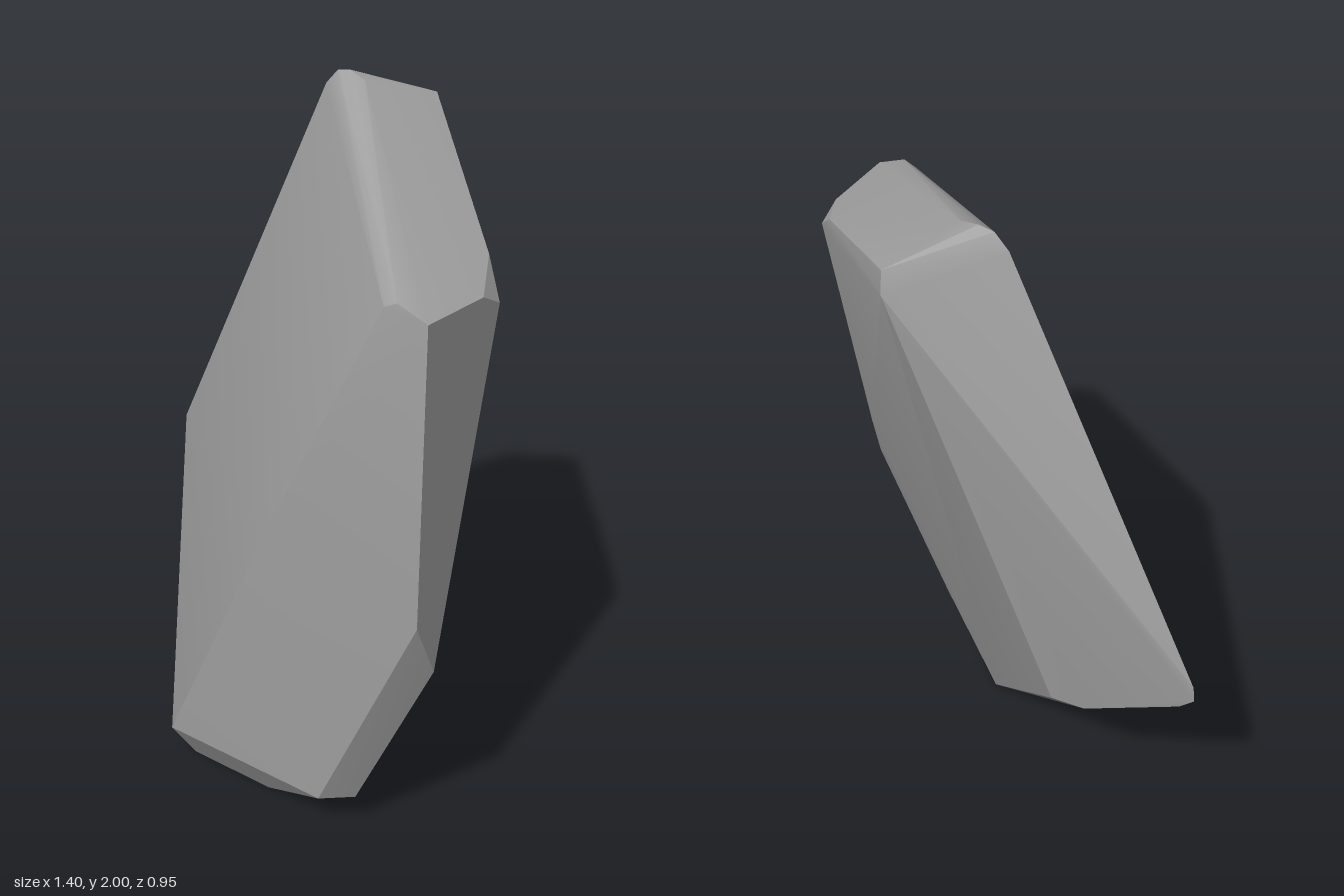
import * as THREE from 'three';
import { ConvexGeometry } from 'three/addons/geometries/ConvexGeometry.js';
import { toCreasedNormals } from 'three/addons/utils/BufferGeometryUtils.js';

export function createModel() {
  const stone = new THREE.MeshStandardMaterial({ color: 0xa0a0a0 });
  stone.name = 'grey stone';

  // Corners of the boulder, grouped by region
  const base = [
    [-0.14, 0, 0.37], [0.145, 0, 0.37], [0.145, 0, 0.14], [-0.03, 0, 0.195],
  ];
  const lowerFront = [
    [-0.17, 0.12, 0.44], [0.38, 0.12, 0.44], [0.46, 0.12, 0.37],
  ];
  const frontRidge = [[0.27, 1.05, 0.476]];
  const rightSide = [
    [0.7, 0.83, 0.455], [0.7, 0.65, 0.365], [0.7, 1.67, 0.455],
    [0.7, 1.66, 0.21], [0.7, 1.62, 0.13],
  ];
  const leftTip = [
    [-0.7, 0.735, -0.275], [-0.705, 0.685, -0.275], [-0.66, 0.64, -0.27],
    [-0.37, 0.495, -0.27], [-0.264, 0.49, -0.27],
  ];
  const crown = [
    [-0.13, 1.95, -0.275], [-0.09, 1.993, -0.275], [-0.045, 2, -0.272], [0.02, 1.985, -0.25],
    [0.575, 1.685, 0.455], [0.61, 1.702, 0.452], [0.61, 1.7, 0.04],
    [0.122, 1.925, -0.46], [0.115, 1.865, -0.478],
  ];
  const back = [[0.58, 0.95, 0.145]];

  const points = [base, lowerFront, frontRidge, rightSide, leftTip, crown, back]
    .flat().map((p) => new THREE.Vector3(...p));

  // Soft shading over shallow bends, crisp edges elsewhere
  const geometry = toCreasedNormals(new ConvexGeometry(points), 0.4);
  const boulder = new THREE.Mesh(geometry, stone);
  boulder.name = 'boulder';

  const group = new THREE.Group();
  group.name = 'rock';
  group.add(boulder);
  return group;
}
